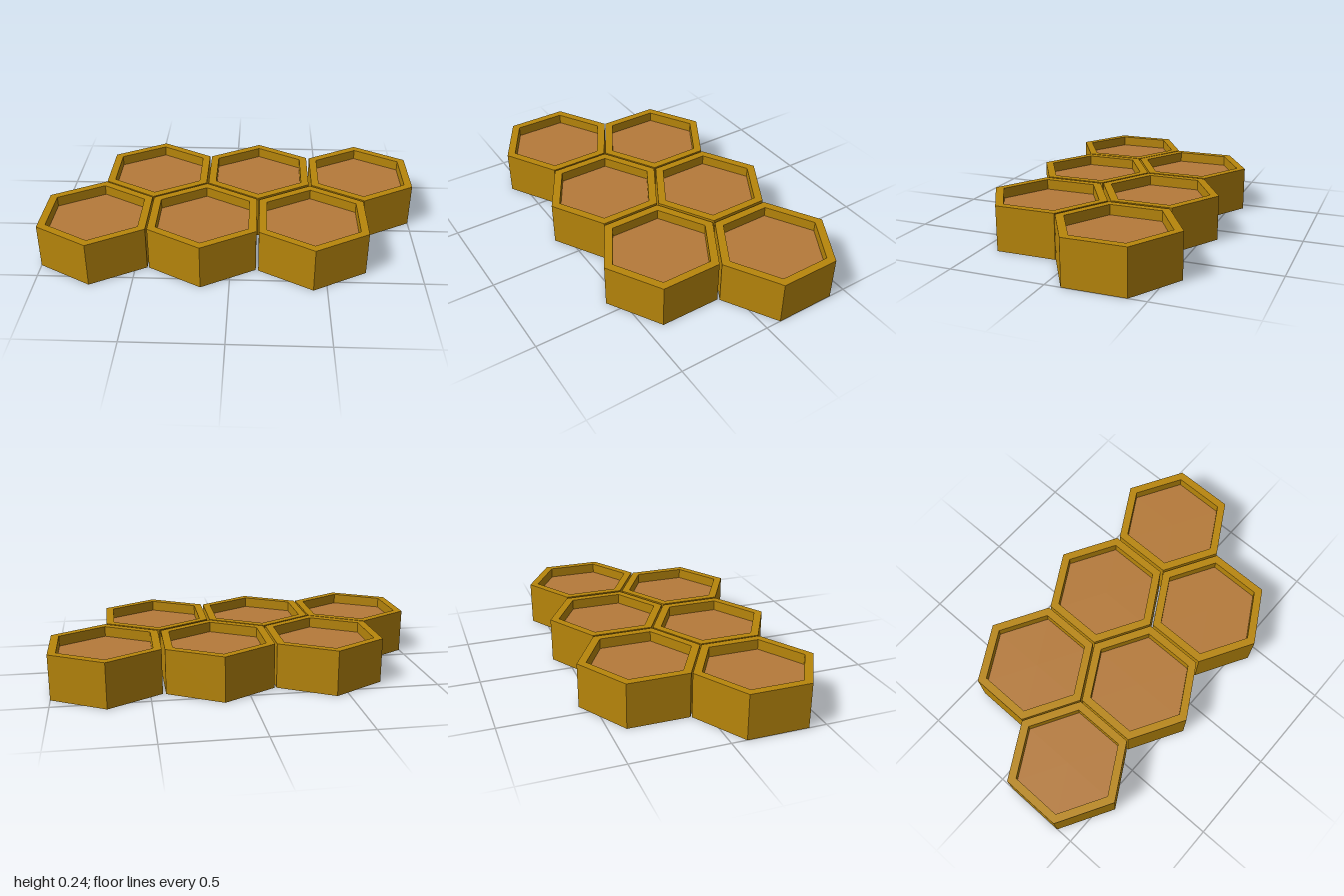
import * as THREE from 'three';

export function createModel() {
  const model = new THREE.Group();
  model.name = 'honeycombTrays';

  const gold = new THREE.MeshStandardMaterial({ color: 0xb8860b, flatShading: true });
  gold.name = 'dark gold';
  const brown = new THREE.MeshStandardMaterial({ color: 0xb57a3a, flatShading: true });
  brown.name = 'warm brown';

  const outer = 0.325, inner = 0.277, height = 0.24, floorY = 0.185;

  // Hexagonal shell: underside, outer wall, rim and inner wall
  const profile = [[0, 0], [outer, 0], [outer, height], [inner, height], [inner, floorY - 0.01]];
  const shellGeometry = new THREE.LatheGeometry(profile.map(([x, y]) => new THREE.Vector2(x, y)), 6);

  // Recessed floor plate
  const floorGeometry = new THREE.CylinderGeometry(inner, inner, 0.008, 6);
  floorGeometry.translate(0, floorY - 0.004, 0);

  // Slightly uneven spacing of the two staggered rows
  const cells = [
    [-0.719, 0.243], [-0.147, 0.244], [0.429, 0.25],
    [-0.434, -0.251], [0.14, -0.251], [0.719, -0.246],
  ];
  cells.forEach(([x, z], i) => {
    const cell = new THREE.Group();
    cell.name = `hexagonTray${i + 1}`;
    const shell = new THREE.Mesh(shellGeometry, gold);
    shell.name = 'trayShell';
    const floor = new THREE.Mesh(floorGeometry, brown);
    floor.name = 'trayFloor';
    cell.add(shell, floor);
    cell.position.set(x, 0, z);
    model.add(cell);
  });

  return model;
}
